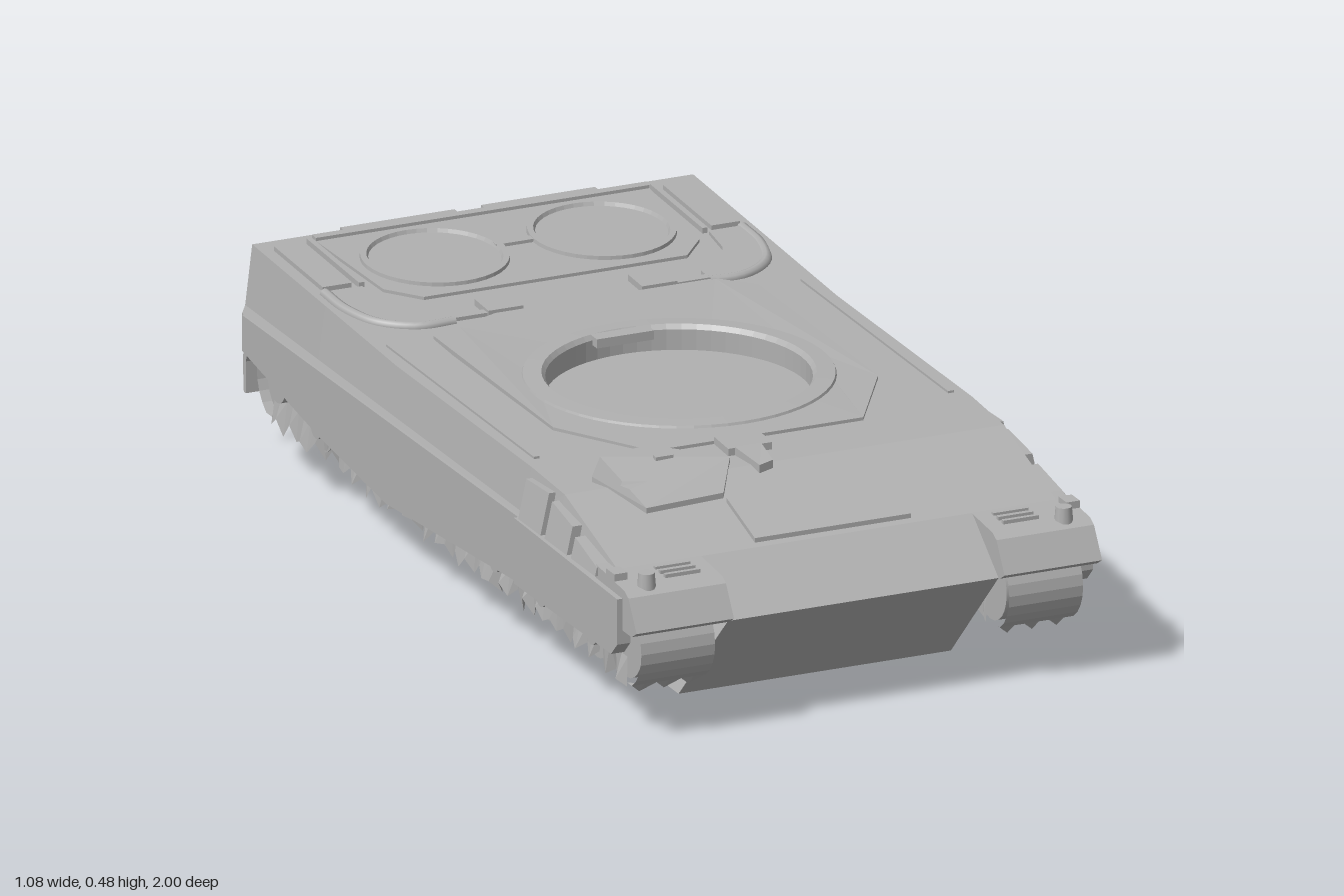
import * as THREE from 'three';

const grey = new THREE.MeshStandardMaterial({ color: 0xb0b0b0 });
grey.name = 'hull grey';
const greyThin = grey.clone();
greyThin.side = THREE.DoubleSide;

// hull stations from front to back: z, deck half width, deck height, skirt bottom
const STATIONS = [
  [0.84, 0.5, 0.35, 0.2], [0.58, 0.5, 0.428, 0.19], [0.42, 0.502, 0.436, 0.18],
  [-0.25, 0.502, 0.436, 0.135], [-0.6, 0.502, 0.451, 0.175], [-0.96, 0.502, 0.466, 0.235],
];

function deckY(z) {
  const s = [[0.97, 0, 0.25], ...STATIONS];
  for (let i = 0; i < s.length - 1; i++) {
    if (z >= s[i + 1][0]) {
      return s[i][2] + (s[i + 1][2] - s[i][2]) * (s[i][0] - z) / (s[i][0] - s[i + 1][0]);
    }
  }
  return 0.466;
}

// skin over rows of points, flat shaded
function loft(rows) {
  const v = [];
  for (let i = 0; i < rows.length - 1; i++) {
    for (let j = 0; j < rows[i].length - 1; j++) {
      const a = rows[i][j], b = rows[i][j + 1], c = rows[i + 1][j + 1], d = rows[i + 1][j];
      v.push(...a, ...b, ...c, ...a, ...c, ...d);
    }
  }
  const g = new THREE.BufferGeometry();
  g.setAttribute('position', new THREE.Float32BufferAttribute(v, 3));
  g.computeVertexNormals();
  return g;
}

function moveVertices(g, rule) {
  const p = g.attributes.position;
  for (let i = 0; i < p.count; i++) p.setXYZ(i, ...rule(p.getX(i), p.getY(i), p.getZ(i)));
  g.computeVertexNormals();
  return g;
}

const toShape = (pts) => new THREE.Shape(pts.map(([x, y]) => new THREE.Vector2(x, y)));

// (z, y) profile pulled across x
function across(pts, x0, x1) {
  return new THREE.ExtrudeGeometry(toShape(pts), { depth: x1 - x0, bevelEnabled: false })
    .rotateY(-Math.PI / 2).translate(x1, 0, 0);
}

// (x, z) outline laid on the deck, following its slope
function onDeck(pts, y0, y1, hole) {
  const s = toShape(pts.map(([x, z]) => [x, -z]));
  if (hole) s.holes.push(new THREE.Path().absarc(hole[0], -hole[1], hole[2], 0, Math.PI * 2, true));
  const g = new THREE.ExtrudeGeometry(s, { depth: y1 - y0, bevelEnabled: false, curveSegments: 24 })
    .rotateX(-Math.PI / 2);
  return moveVertices(g, (x, y, z) => [x, y + y0 + deckY(z), z]);
}

// turned part with flat facets
function turned(profile, sides) {
  const g = new THREE.LatheGeometry(profile.map(([x, y]) => new THREE.Vector2(x, y)), sides).toNonIndexed();
  g.computeVertexNormals();
  return g;
}

const rect = (x0, x1, z0, z1) => [[x0, z0], [x1, z0], [x1, z1], [x0, z1]];
const box = (w, h, d, x, y, z) => new THREE.BoxGeometry(w, h, d).translate(x, y, z);

function mirrored(geo) {
  const g = (geo.index ? geo.toNonIndexed() : geo.clone()).scale(-1, 1, 1);
  for (const key of ['position', 'normal']) {
    const a = g.attributes[key].array;
    for (let i = 0; i < a.length; i += 9) {
      for (let k = 0; k < 3; k++) [a[i + k], a[i + 6 + k]] = [a[i + 6 + k], a[i + k]];
    }
  }
  return g;
}

export function createModel() {
  const model = new THREE.Group();
  model.name = 'trackedHull';
  const add = (name, geo, mat = grey) => {
    const m = new THREE.Mesh(geo, mat);
    m.name = name;
    model.add(m);
  };
  const both = (name, geo, mat) => {
    add(name + 'Left', geo, mat);
    add(name + 'Right', mirrored(geo), mat);
  };
  const row = (w, y, z) => [[-w, y, z], [w, y, z]];

  // belly, nose, inner floor and rear plates
  add('bellyAndNose', loft([row(0.31, 0.01, -0.77), row(0.31, 0.01, 0.73), row(0.308, 0.25, 0.97), row(0.308, 0.35, 0.84)]), greyThin);
  add('innerFloor', loft([row(0.312, 0.12, -0.88), row(0.312, 0.12, 0.84)]), greyThin);
  add('rearPlate', loft([row(0.502, 0.466, -0.96), row(0.522, 0.235, -0.96)]));
  add('rearLowerPlate', loft([row(0.31, 0.24, -0.955), row(0.31, 0.18, -0.94), row(0.31, 0.01, -0.77)]), greyThin);
  for (const z of [0.5, 0, -0.72]) both('drainPlug', new THREE.CylinderGeometry(0.022, 0.022, 0.012, 12).translate(0.17, 0.006, z));

  // glacis and decks
  add('glacis', loft([row(0.5, 0.35, 0.84), row(0.5, 0.428, 0.58), row(0.502, 0.436, 0.42)]));
  add('rearDeck', loft([row(0.502, 0.436, -0.25), row(0.502, 0.451, -0.6), row(0.502, 0.466, -0.96)]));
  add('middleDeck', onDeck(rect(-0.502, 0.502, -0.25, 0.42), -0.02, 0, [0, 0.06, 0.3]));

  // turret plate, race and its shallow well
  add('turretPlate', onDeck([[-0.37, -0.35], [-0.3, -0.375], [-0.2, -0.415], [0.3, -0.415], [0.37, -0.35], [0.37, 0.24],
    [0.24, 0.45], [-0.24, 0.45], [-0.37, 0.24]], -0.005, 0.007, [0, 0.06, 0.3]));
  const race = [[0.33, 0.435], [0.324, 0.448], [0.285, 0.45], [0.277, 0.44], [0.277, 0.395], [0, 0.395]];
  add('turretRace', turned(race, 56).translate(0, 0, 0.06));
  add('raceDrive', box(0.13, 0.02, 0.035, -0.01, 0.44, -0.2));

  // sponson sides, skirts and wheel bay walls
  both('side', loft(STATIONS.map(([z, w, y, b]) => [
    [w, y, z], [0.518, 0.335, z], [0.525, 0.318, z], [0.525, b, z], [0.512, b, z],
    [0.508, 0.25, z], [0.31, 0.25, z], [0.31, 0.12, z]])), greyThin);
  both('frontSkirt', across([[0.42, 0.185], [0.9, 0.19], [0.93, 0.22], [0.93, 0.32], [0.42, 0.33]], 0.512, 0.542));
  both('skirtRail', across([[-0.95, 0.305], [0.42, 0.315], [0.42, 0.328], [-0.95, 0.318]], 0.512, 0.53));

  // stowage panels on the sloped front sides
  for (const [z0, z1] of [[0.43, 0.54], [0.56, 0.67], [0.69, 0.81]]) {
    const g = across([[z0, 0.33], [z1, 0.33], [z1, deckY(z1) - 0.01], [z0, deckY(z0) - 0.02]], 0.495, 0.537);
    both('sidePanel', moveVertices(g, (x, y, z) => [x - (y - 0.33) * 0.22, y, z]));
  }

  // front fenders with lamps and slats
  both('frontFender', across([[0.8, 0.25], [0.975, 0.25], [1, 0.265], [0.96, 0.33], [0.94, 0.34], [0.8, 0.352]], 0.308, 0.53));
  both('fenderLamp', new THREE.CylinderGeometry(0.017, 0.02, 0.035, 12).translate(0.475, 0.352, 0.93));
  both('fenderBlock', box(0.03, 0.03, 0.04, 0.515, 0.345, 0.87));
  for (let i = 0; i < 3; i++) both('fenderSlat', box(0.08, 0.008, 0.01, 0.385, 0.348, 0.86 + i * 0.025));

  // driver hatch, sight and access panel
  add('driverHatch', onDeck([[-0.42, 0.54], [-0.36, 0.45], [-0.24, 0.43], [-0.11, 0.55], [-0.18, 0.67], [-0.36, 0.68]], -0.005, 0.012));
  add('hatchHandle', onDeck(rect(-0.26, -0.22, 0.495, 0.51), 0.01, 0.018));
  add('driverSight', onDeck(rect(-0.1, 0, 0.45, 0.52), -0.005, 0.016));
  add('sightHood', onDeck([[-0.085, 0.52], [-0.025, 0.52], [-0.035, 0.6], [-0.07, 0.61]], -0.01, 0.018));
  add('accessPanel', onDeck(rect(-0.18, 0.175, 0.685, 0.825), -0.005, 0.01));
  both('deckStrip', onDeck(rect(0.465, 0.478, -0.35, 0.38), 0, 0.005));

  // engine deck with two round fan covers
  add('enginePlate', onDeck([[-0.38, -0.92], [0.38, -0.92], [0.36, -0.62], [0.3, -0.55], [-0.3, -0.55], [-0.36, -0.62]], -0.005, 0.007));
  const fan = turned([[0.158, -0.01], [0.155, 0.015], [0.142, 0.015], [0.138, 0.007], [0, 0.007]], 40);
  both('fanCover', fan.rotateX(0.042).translate(0.19, deckY(-0.735), -0.735));
  add('fanBridge', onDeck(rect(-0.05, 0.05, -0.755, -0.735), 0, 0.014));
  add('engineDeckRim', onDeck(rect(-0.38, 0.38, -0.93, -0.91), 0, 0.014));
  both('deckBox', onDeck(rect(0.41, 0.475, -0.91, -0.67), -0.005, 0.01));
  both('deckRib', onDeck(rect(0.385, 0.397, -0.92, -0.66), -0.005, 0.012));
  both('deckCatch', onDeck(rect(0.135, 0.215, -0.485, -0.415), -0.005, 0.014));
  both('catchBar', onDeck(rect(0.215, 0.3, -0.44, -0.42), -0.005, 0.008));

  // curved cowls beside the fans with a rounded outer lip
  both('cowl', onDeck([[0.47, -0.65], [0.472, -0.56], [0.44, -0.47], [0.38, -0.415], [0.29, -0.425], [0.29, -0.46],
    [0.35, -0.49], [0.385, -0.56], [0.395, -0.65]], -0.005, 0.008));
  const bend = new THREE.CatmullRomCurve3([[0.475, -0.66], [0.472, -0.56], [0.44, -0.47], [0.37, -0.42], [0.29, -0.42]]
    .map(([x, z]) => new THREE.Vector3(x, deckY(z), z)));
  both('cowlLip', new THREE.TubeGeometry(bend, 20, 0.012, 8));

  // rear doors, ledge and mudflaps
  both('rearDoor', box(0.22, 0.2, 0.014, 0.165, 0.34, -0.964));
  both('rearPost', box(0.025, 0.24, 0.022, 0.295, 0.335, -0.967));
  add('rearCentrePost', box(0.05, 0.22, 0.012, 0, 0.335, -0.963));
  both('rearLedge', box(0.26, 0.025, 0.026, 0.16, 0.45, -0.972));
  both('mudflap', across([[-0.955, 0.37], [-0.975, 0.37], [-0.985, 0.28], [-1, 0.2], [-0.995, 0.13], [-0.985, 0.13],
    [-0.985, 0.2], [-0.955, 0.28]], 0.31, 0.505));

  // end wheels with the remaining track bands
  const wheel = (r, w, x, y, z) => new THREE.CylinderGeometry(r, r, w, 24).rotateZ(Math.PI / 2).translate(x, y, z);
  both('idlerWheel', wheel(0.08, 0.14, 0.415, 0.195, 0.85));
  both('driveSprocket', wheel(0.08, 0.15, 0.42, 0.205, -0.82));
  both('sprocketHub', wheel(0.04, 0.18, 0.42, 0.205, -0.82));
  const bandRows = (cz, dir) => Array.from({ length: 8 }, (_, i) => {
    const a = 0.5 - i * 0.24, y = 0.2 + 0.1 * Math.sin(a), z = cz + dir * 0.115 * Math.cos(a);
    const ragged = i === 7 ? 0.012 : 0;
    return [0, 1, 2, 3, 4, 5, 6].map((k) => [0.335 + k * 0.028, y + ragged * (k % 2 ? -1 : 1), z]);
  });
  both('frontTrackBand', loft(bandRows(0.85, 1)), greyThin);
  both('rearTrackBand', loft(bandRows(-0.82, -1)), greyThin);

  // return rollers and suspension arms
  for (const z of [0.72, 0.47, 0.24, 0.02, -0.21, -0.43, -0.64]) {
    both('returnRoller', wheel(0.055, 0.1, 0.44, 0.17, z));
    both('rollerHub', wheel(0.025, 0.16, 0.425, 0.17, z));
    both('suspensionArm', box(0.06, 0.03, 0.14, 0.35, 0.14, z - 0.08));
  }

  // ragged track remnants hanging in the wheel bays
  let seed = 7;
  const rand = () => (seed = (seed * 16807) % 2147483647) / 2147483647;
  for (const [x, top, low] of [[0.335, 0.25, 0.11], [0.41, 0.17, 0.1], [0.495, 0.17, 0.105]]) {
    const rows = Array.from({ length: 61 }, (_, i) => {
      const z = 0.88 - i * 0.029;
      return [[x, top, z], [x + (rand() - 0.5) * 0.03, low + (i % 2) * 0.02 + (rand() - 0.5) * 0.025, z]];
    });
    both('trackRemnant', loft(rows), greyThin);
  }
  return model;
}
